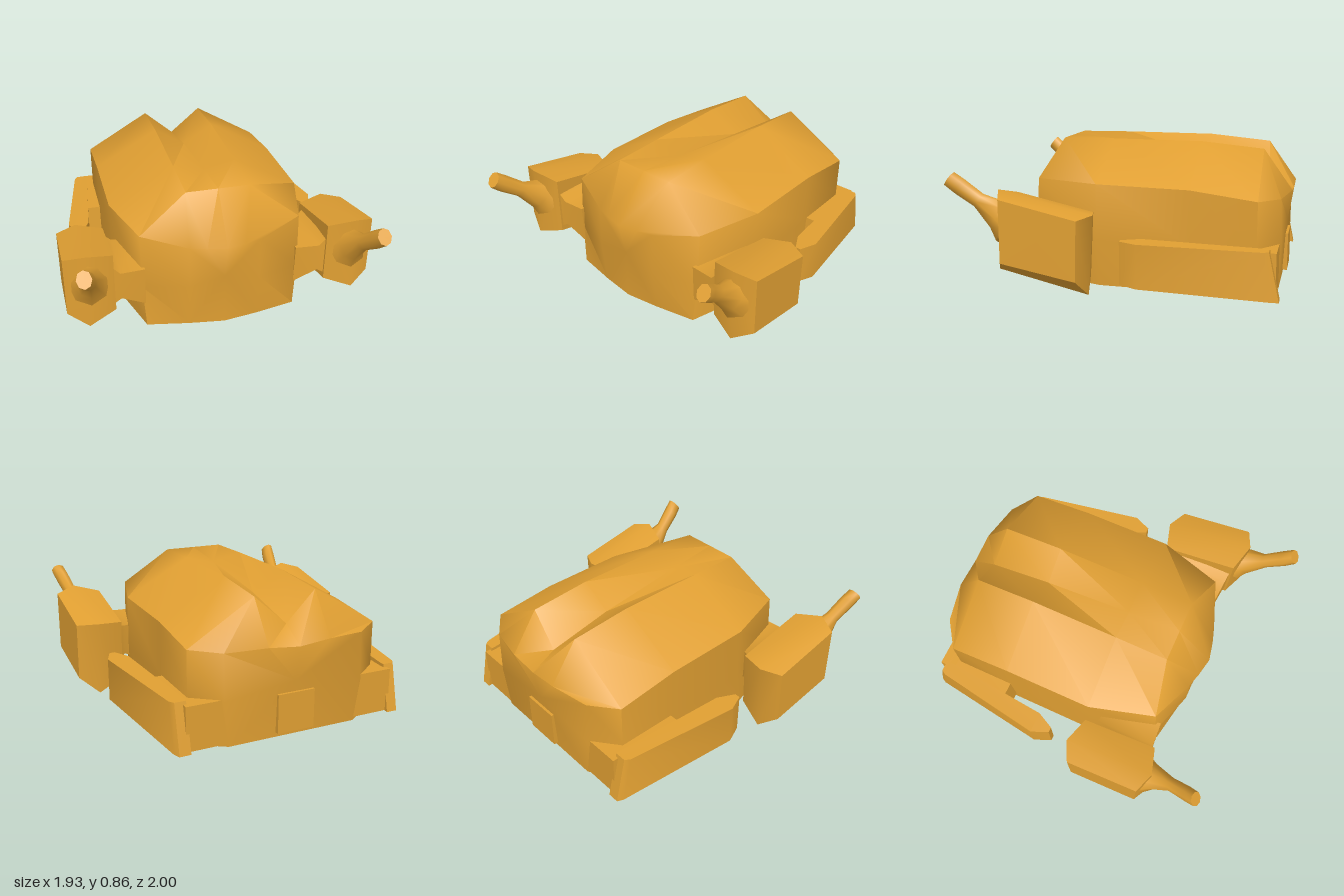
import * as THREE from 'three';
import { toCreasedNormals } from 'three/addons/utils/BufferGeometryUtils.js';

const shellColor = new THREE.MeshStandardMaterial({ color: 0xe09f32 });

// Skins a row of closed rings of [x, y, z] points, capped at both ends.
function loft(rings, crease = 1.0) {
  const n = rings[0].length;
  const pts = rings.flat().map((p) => new THREE.Vector3(...p));
  const index = [];
  for (let r = 0; r < rings.length - 1; r++) {
    for (let i = 0; i < n; i++) {
      const a = r * n + i, b = r * n + (i + 1) % n;
      index.push(a, b, a + n, b, b + n, a + n);
    }
  }
  for (const [start, flip] of [[0, true], [(rings.length - 1) * n, false]]) {
    const centre = new THREE.Vector3();
    for (let i = 0; i < n; i++) centre.addScaledVector(pts[start + i], 1 / n);
    const c = pts.push(centre) - 1;
    for (let i = 0; i < n; i++) {
      const a = start + i, b = start + (i + 1) % n;
      if (flip) index.push(c, b, a); else index.push(c, a, b);
    }
  }
  // Turn the faces outward when the enclosed volume is negative.
  let volume = 0;
  for (let i = 0; i < index.length; i += 3) {
    const [a, b, c] = [0, 1, 2].map((k) => pts[index[i + k]]);
    volume += a.dot(b.clone().cross(c));
  }
  if (volume < 0) index.reverse();
  const geo = new THREE.BufferGeometry().setFromPoints(pts);
  geo.setIndex(index);
  return toCreasedNormals(geo, crease);
}

function part(name, geo) {
  const mesh = new THREE.Mesh(geo, shellColor);
  mesh.name = name;
  return mesh;
}

// Half section (bottom centre to top centre) completed across x = 0.
function mirrored(half) {
  const other = half.slice(1, -1).reverse().map(([x, y, z]) => [-x, y, z]);
  return [...half, ...other];
}

function createShell() {
  // Each half: bottom centre, bottom edge, side, shoulder, ridge, groove.
  const halves = [
    [[0, 0, 0.67], [0.22, 0, 0.64], [0.22, 0.3, 0.67], [0.22, 0.57, 0.66], [0.12, 0.57, 0.69], [0, 0.57, 0.715]],
    [[0, 0, 0.6], [0.48, 0, 0.59], [0.5, 0.28, 0.57], [0.5, 0.63, 0.55], [0.2, 0.85, 0.48], [0, 0.85, 0.48]],
    [[0, 0, 0.14], [0.62, 0, 0.12], [0.62, 0.28, 0.14], [0.62, 0.63, 0.14], [0.2, 0.855, 0.14], [0, 0.81, 0.14]],
    [[0, 0, -0.43], [0.62, 0, -0.43], [0.62, 0.28, -0.43], [0.62, 0.62, -0.43], [0.2, 0.855, -0.43], [0, 0.73, -0.43]],
    [[0, 0, -0.83], [0.6, 0, -0.83], [0.62, 0.3, -0.83], [0.62, 0.57, -0.83], [0.2, 0.82, -0.82], [0, 0.64, -0.84]],
    [[0, 0, -0.95], [0.42, 0, -0.95], [0.45, 0.28, -0.96], [0.45, 0.56, -0.95], [0.2, 0.57, -1], [0, 0.55, -1]],
  ];
  return part('shell', loft(halves.map(mirrored)));
}

function createClaw(side) {
  const claw = new THREE.Group();
  const at = (x, quad) => quad.map(([z, y]) => [side * x, y, z]);

  // Shoulder joint between shell and claw
  claw.add(part('shoulder', loft([
    at(0.48, [[0.59, 0.42], [0.25, 0.42], [0.25, 0.16], [0.58, 0.16]]),
    at(0.63, [[0.6, 0.42], [0.21, 0.42], [0.22, 0.22], [0.6, 0.24]]),
    at(0.7, [[0.61, 0.5], [0.16, 0.45], [0.18, 0.15], [0.61, 0.2]]),
  ])));

  // Leaning block, widest at its middle
  claw.add(part('palm', loft([
    at(0.67, [[0.62, 0.57], [0.14, 0.47], [0.16, 0.08], [0.62, 0.18]]),
    at(0.84, [[0.67, 0.615], [0.09, 0.49], [0.12, 0.01], [0.68, 0.13]]),
    at(0.965, [[0.62, 0.58], [0.15, 0.48], [0.16, 0.12], [0.62, 0.2]]),
  ], 0.9)));

  // Upturned tip, rings along its path: x, y, z, radius
  const path = [[0.82, 0.41, 0.6, 0.15], [0.82, 0.45, 0.67, 0.1], [0.83, 0.54, 0.8, 0.05],
    [0.855, 0.625, 0.91, 0.055], [0.87, 0.67, 0.965, 0.052]];
  const rings = path.map(([x, y, z, r]) => Array.from({ length: 8 }, (_, i) => {
    const a = i * Math.PI / 4, up = Math.sin(a) * r;
    return [side * (x + Math.cos(a) * r * 0.85), y + up * 0.82, z - up * 0.6];
  }));
  claw.add(part('tip', loft(rings, 1.2)));
  return claw;
}

function createHindLeg(side) {
  const leg = new THREE.Group();
  const ring = (z0, z1, xi, xo, y0, y1) => [
    [side * xi, y0, z0], [side * xo, y0, z0], [side * xo, y1, z1], [side * xi, y1, z1]];

  // Hip block against the shell
  leg.add(part('hip', loft([
    ring(-0.94, -0.9, 0.48, 0.72, 0.02, 0.29),
    ring(-0.43, -0.45, 0.55, 0.71, 0.07, 0.29),
  ])));

  // Slab reaching forward along the side
  leg.add(part('foot', loft([
    ring(-0.975, -0.91, 0.66, 0.73, 0.015, 0.31),
    ring(-0.94, -0.88, 0.66, 0.75, 0.02, 0.31),
    ring(-0.17, -0.17, 0.73, 0.865, 0.075, 0.34),
    ring(-0.06, -0.06, 0.785, 0.82, 0.08, 0.34),
  ], 0.8)));
  return leg;
}

export function createModel() {
  const model = new THREE.Group();
  model.name = 'shelledCreature';
  model.add(createShell());

  for (const [side, label] of [[1, 'left'], [-1, 'right']]) {
    const claw = createClaw(side);
    claw.name = `${label}Claw`;
    const leg = createHindLeg(side);
    leg.name = `${label}HindLeg`;
    model.add(claw, leg);
  }

  // Low rim joining the hind legs, with a small tail plate
  const rim = part('rearRim', new THREE.BoxGeometry(1.36, 0.27, 0.1));
  rim.position.set(0, 0.155, -0.9);
  const tail = part('tail', new THREE.BoxGeometry(0.24, 0.24, 0.08));
  tail.position.set(0, 0.15, -0.94);
  model.add(rim, tail);
  return model;
}
